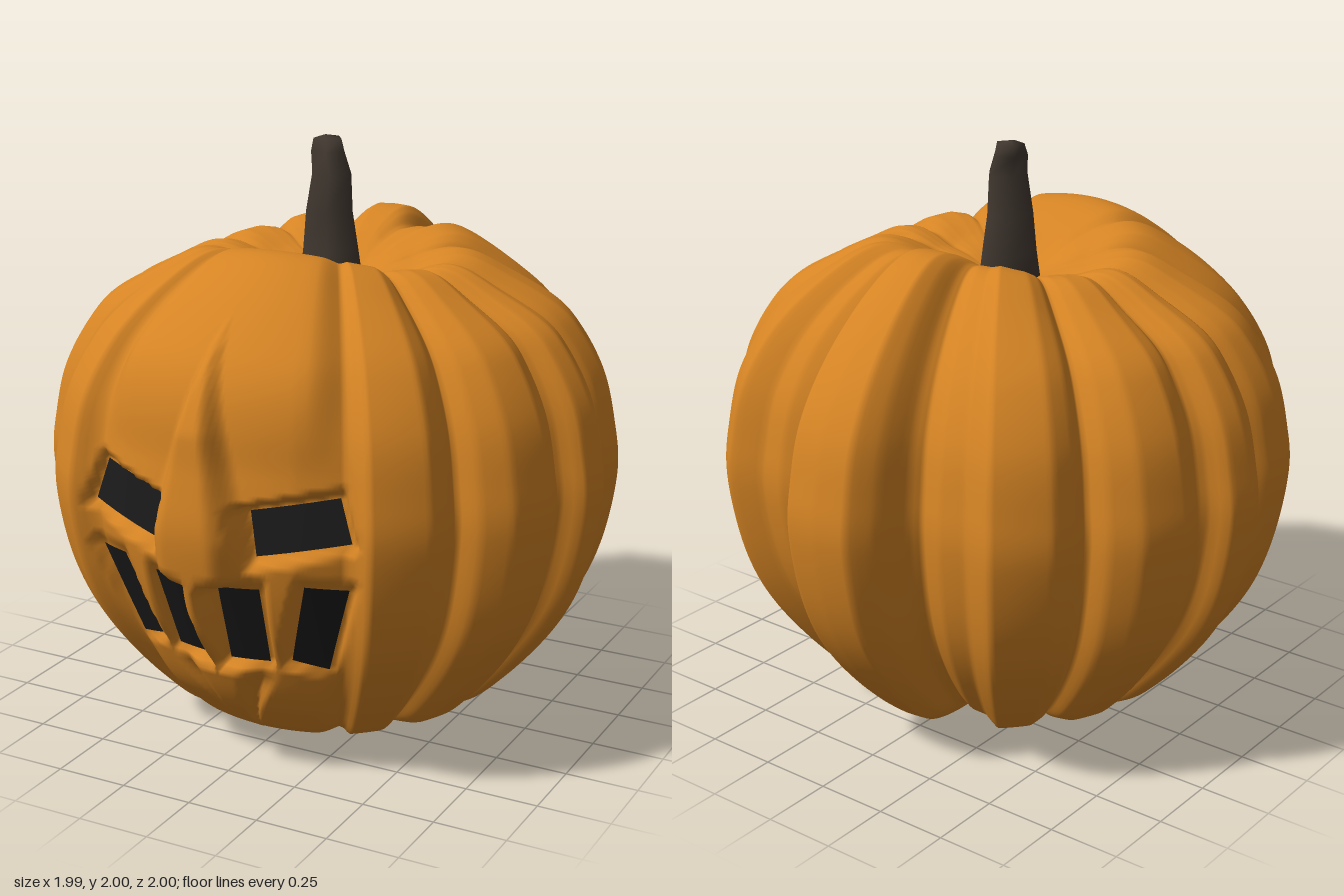
import * as THREE from 'three';

const { lerp, smoothstep, degToRad } = THREE.MathUtils;

// Body outline from the underside to the sunken crown: radius, height
const profile = new THREE.SplineCurve([
  [0, 0.035], [0.25, 0], [0.5, 0.045], [0.67, 0.18], [0.85, 0.4], [0.95, 0.61], [1, 0.87], [0.985, 1.05],
  [0.935, 1.24], [0.815, 1.43], [0.63, 1.61], [0.45, 1.7], [0.27, 1.65], [0.12, 1.54], [0, 1.5],
].map(([r, y]) => new THREE.Vector2(r, y)));

// Rib outline on one half: degrees from the front, relative radius
const ribs = [
  [0, 0.92], [20, 0.92], [30, 0.905], [32, 0.93], [34, 0.98], [46, 0.975], [51, 0.915], [54, 0.86], [57, 0.93],
  [63, 0.98], [72, 0.985], [77, 0.945], [80.5, 0.885], [83, 0.905], [85, 0.97], [90, 0.995], [95, 0.97], [97, 0.905],
  [99.5, 0.885], [103, 0.945], [108, 0.985], [117, 0.98], [123, 0.93], [126, 0.86], [129, 0.92], [134, 0.97],
  [146, 0.985], [151, 0.89], [157, 0.86], [162, 0.8], [165, 0.83], [169, 0.93], [173, 0.995], [180, 1],
];

function ribRadius(deg, y) {
  let i = 0;
  while (i < ribs.length - 2 && deg > ribs[i + 1][0]) i++;
  const [a0, r0] = ribs[i], [a1, r1] = ribs[i + 1];
  let r = lerp(r0, r1, (deg - a0) / (a1 - a0));
  // face is fuller at the forehead and the chin
  const lift = 0.07 * smoothstep(y, 1.1, 1.45) + 0.05 * (1 - smoothstep(y, 0.2, 0.45));
  r += lift * (1 - smoothstep(deg, 22, 33));
  // central ridge: widens downward into the nose, narrows again on the chin
  const k = y > 0.9 ? (1.55 - y) / 0.65 : y < 0.4 ? (y - 0.05) / 0.35 : 1;
  if (k > 0.02) {
    const height = lerp(0.035, 0.08, smoothstep(y, 0.36, 0.62));
    r += height * Math.min(1, k * 2) * (1 - smoothstep(deg / (8 * k), 0.55, 1.45));
    // creases either side of the chin wedge
    const crease = Math.max(0, 1 - Math.abs(deg / (8 * k) - 1.4) / 0.6);
    r -= 0.04 * crease * (1 - smoothstep(y, 0.3, 0.42)) * Math.min(1, k * 2);
  }
  return r;
}

// Openings on the +x half, corners clockwise from top inner; z gives the depth
const eyeZ = (x, y) => 0.855 - 0.42 * x * x - 0.2 * (y - 0.93);
const toothZ = (x, y) => 0.885 - 0.62 * x * x + 0.38 * (y - 0.73);
const openings = [
  { name: 'eye', z: eyeZ, pts: [[0.15, 0.975], [0.425, 1.035], [0.47, 0.895], [0.182, 0.835]] },
  { name: 'innerMouthOpening', z: toothZ, pts: [[0.05, 0.715], [0.19, 0.725], [0.17, 0.437], [0.032, 0.43]] },
  { name: 'outerMouthOpening', z: toothZ, pts: [[0.33, 0.745], [0.455, 0.735], [0.35, 0.42], [0.242, 0.45]] },
];

// Largest distance outside any edge of a convex clockwise outline
function outside(pts, x, y) {
  let d = -Infinity;
  pts.forEach(([ax, ay], i) => {
    const [bx, by] = pts[(i + 1) % pts.length];
    const ex = bx - ax, ey = by - ay;
    d = Math.max(d, ((x - ax) * -ey + (y - ay) * ex) / Math.hypot(ex, ey));
  });
  return d;
}

function bodyPoint(angle, t) {
  const p = profile.getPoint(t);
  const deg = Math.abs(angle) * 180 / Math.PI;
  // ribs fade out in the crown and under the base
  let f = 1;
  if (p.y > 1.4) f = smoothstep(p.x, 0.08, 0.48);
  else if (p.y < 0.3) f = smoothstep(p.x, 0.06, 0.4);
  const s = lerp(0.97, ribRadius(deg, p.y), f);
  const v = new THREE.Vector3(Math.sin(angle) * p.x * s, p.y, Math.cos(angle) * p.x * s);
  v.y = 0.8 + (p.y - 0.8) * (1 - (1 - s) * 0.3);
  // crown is lower at the sides
  v.y -= 0.085 * Math.sin(angle) ** 2 * smoothstep(p.y, 1.4, 1.68) * smoothstep(p.x, 0.05, 0.3);
  // press in the eye and mouth sockets
  if (v.z > 0.3) {
    const x = Math.abs(v.x);
    for (const o of openings) {
      const w = 1 - smoothstep(outside(o.pts, x, v.y), 0.008, 0.034);
      if (w > 0) v.z = lerp(v.z, o.z(x, v.y) - 0.012, w);
    }
  }
  return v;
}

// Skin rings of points, each closed around the axis
function skin(rings) {
  const n = rings[0].length, pos = [], index = [];
  rings.forEach((ring) => ring.forEach((v) => pos.push(v.x, v.y, v.z)));
  for (let j = 0; j < rings.length - 1; j++) {
    for (let i = 0; i < n; i++) {
      const a = j * n + i, b = j * n + (i + 1) % n;
      index.push(a, b, b + n, a, b + n, a + n);
    }
  }
  const g = new THREE.BufferGeometry();
  g.setAttribute('position', new THREE.Float32BufferAttribute(pos, 3));
  g.setIndex(index);
  g.computeVertexNormals();
  return g;
}

function bodyGeometry() {
  const rows = 150, cols = 420, rings = [];
  for (let j = 0; j <= rows; j++) {
    const ring = [];
    for (let i = 0; i < cols; i++) ring.push(bodyPoint(degToRad(i * 360 / cols - 180), j / rows));
    rings.push(ring);
  }
  return skin(rings);
}

// Dark sheet filling an opening, bent to follow the face
function panelGeometry({ pts, z }, side) {
  const g = new THREE.PlaneGeometry(1, 1, 6, 6), p = g.attributes.position;
  for (let i = 0; i < p.count; i++) {
    const u = p.getX(i) + 0.5, v = 0.5 - p.getY(i);
    const at = (k) => lerp(lerp(pts[0][k], pts[1][k], u), lerp(pts[3][k], pts[2][k], u), v);
    const x = at(0), y = at(1);
    p.setXYZ(i, side * x, y, z(x, y));
  }
  if (side < 0) g.index.array.reverse();
  g.computeVertexNormals();
  return g;
}

// Five-sided bent stem: x, y, z, radius per ring
function stemGeometry() {
  const rings = [
    [-0.015, 1.48, -0.025, 0.12], [-0.022, 1.62, -0.032, 0.1], [-0.03, 1.75, -0.035, 0.084],
    [-0.018, 1.88, -0.028, 0.07], [-0.04, 1.95, -0.04, 0.06], [-0.05, 1.99, -0.055, 0.05], [-0.06, 2, -0.055, 0.001],
  ].map(([x, y, z, r]) => Array.from({ length: 5 }, (_, i) => {
    const a = Math.PI / 2 + i * Math.PI * 0.4;
    return new THREE.Vector3(x + r * Math.sin(a), y, z + r * Math.cos(a));
  }));
  return skin(rings);
}

export function createModel() {
  const group = new THREE.Group();
  const add = (name, geometry, color, side = THREE.FrontSide) => {
    const mesh = new THREE.Mesh(geometry, new THREE.MeshStandardMaterial({ color, side }));
    mesh.name = name;
    group.add(mesh);
  };
  add('pumpkinBody', bodyGeometry(), 0xd58424);
  add('stem', stemGeometry(), 0x40372f);
  for (const o of openings) {
    add(o.name + 'Left', panelGeometry(o, 1), 0x1a1a1a, THREE.DoubleSide);
    add(o.name + 'Right', panelGeometry(o, -1), 0x1a1a1a, THREE.DoubleSide);
  }
  return group;
}
